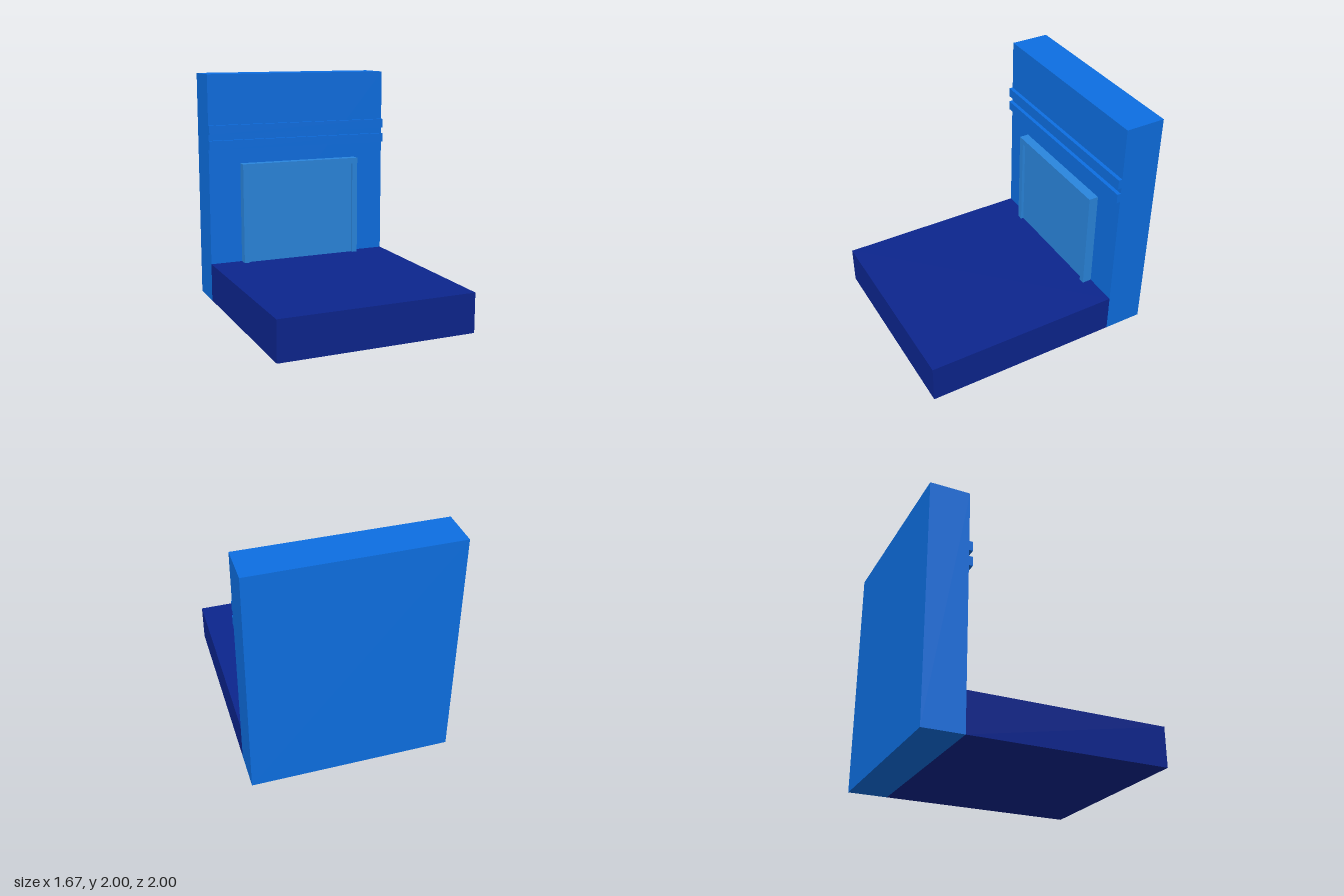
import * as THREE from 'three';

const material = (color) => new THREE.MeshStandardMaterial({ color, flatShading: true });

// Box given by its limits on each axis
function block(name, mat, [x0, x1], [y0, y1], [z0, z1]) {
  const mesh = new THREE.Mesh(new THREE.BoxGeometry(x1 - x0, y1 - y0, z1 - z0), mat);
  mesh.position.set((x0 + x1) / 2, (y0 + y1) / 2, (z0 + z1) / 2);
  mesh.name = name;
  return mesh;
}

export function createModel() {
  const model = new THREE.Group();
  model.name = 'wallWithDoorway';
  const wallBlue = material(0x0d6fe2);
  const floorBlue = material(0x0c258e);
  const doorBlue = material(0x2a86de);

  const halfWidth = 0.833, floorTop = 0.333, wallFront = -0.667;
  const full = [-halfWidth, halfWidth];

  // Floor slab and back wall
  model.add(block('floor', floorBlue, full, [0, floorTop], [wallFront, 1]));
  model.add(block('wall', wallBlue, full, [0, 2], [-1, wallFront]));

  // Two horizontal trim strips across the wall
  for (const [bottom, top] of [[1.35, 1.43], [1.483, 1.563]]) {
    model.add(block('trimStrip', wallBlue, full, [bottom, top], [wallFront, -0.635]));
  }

  // Door frame: one three-sided outline, extruded forward from the wall
  const outer = 0.55, inner = 0.5, outerTop = 1.22, innerTop = 1.17;
  const outline = new THREE.Shape([
    [-outer, floorTop], [-inner, floorTop], [-inner, innerTop], [inner, innerTop],
    [inner, floorTop], [outer, floorTop], [outer, outerTop], [-outer, outerTop],
  ].map(([x, y]) => new THREE.Vector2(x, y)));
  const frame = new THREE.Mesh(
    new THREE.ExtrudeGeometry(outline, { depth: 0.082, bevelEnabled: false }), doorBlue);
  frame.position.z = wallFront;
  frame.name = 'doorFrame';
  model.add(frame);

  // Door panel, set back slightly inside the frame
  model.add(block('doorPanel', doorBlue, [-inner, inner], [floorTop, innerTop], [wallFront, -0.61]));

  return model;
}
